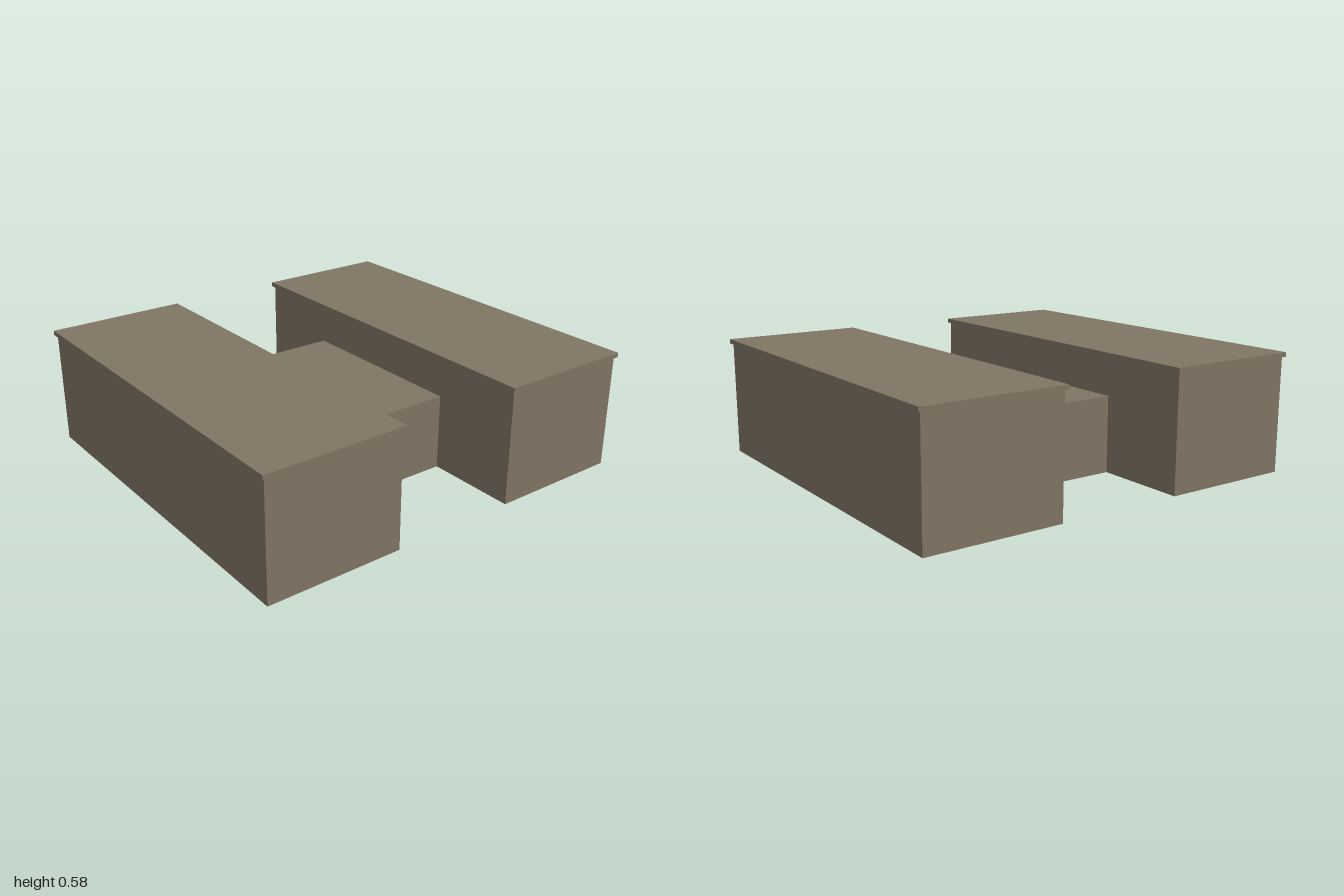
import * as THREE from 'three';

const stone = new THREE.MeshStandardMaterial({ color: 0x807564, side: THREE.DoubleSide });
stone.name = 'taupe stone';

// Box standing at height y, keeping only the listed faces (0 +x, 1 -x, 2 +y, 3 -y, 4 +z, 5 -z)
function shell(name, w, h, d, x, y, faces) {
  const geo = new THREE.BoxGeometry(w, h, d);
  const index = Array.from(geo.index.array);
  geo.setIndex(faces.flatMap((f) => index.slice(f * 6, f * 6 + 6)));
  geo.clearGroups();
  const mesh = new THREE.Mesh(geo, stone);
  mesh.name = name;
  mesh.position.set(x, y + h / 2, 0);
  return mesh;
}

export function createModel() {
  const model = new THREE.Group();
  model.name = 'hShapedBuilding';

  // Two long wings: walls open at the bottom, under a slightly overhanging roof slab
  for (const [side, s] of [['left', 1], ['right', -1]]) {
    const wing = new THREE.Group();
    wing.name = side + 'Wing';
    wing.add(shell('wingWalls', 0.67, 0.563, 1.846, s * 0.652, 0, [0, 1, 4, 5]));
    wing.add(shell('wingRoof', 0.695, 0.022, 1.87, s * 0.6525, 0.563, [0, 1, 2, 3, 4, 5]));
    model.add(wing);
  }

  // Lower link between the wings, open below and where it meets them
  model.add(shell('connectingBlock', 0.634, 0.375, 0.926, 0, 0, [2, 4, 5]));
  return model;
}
